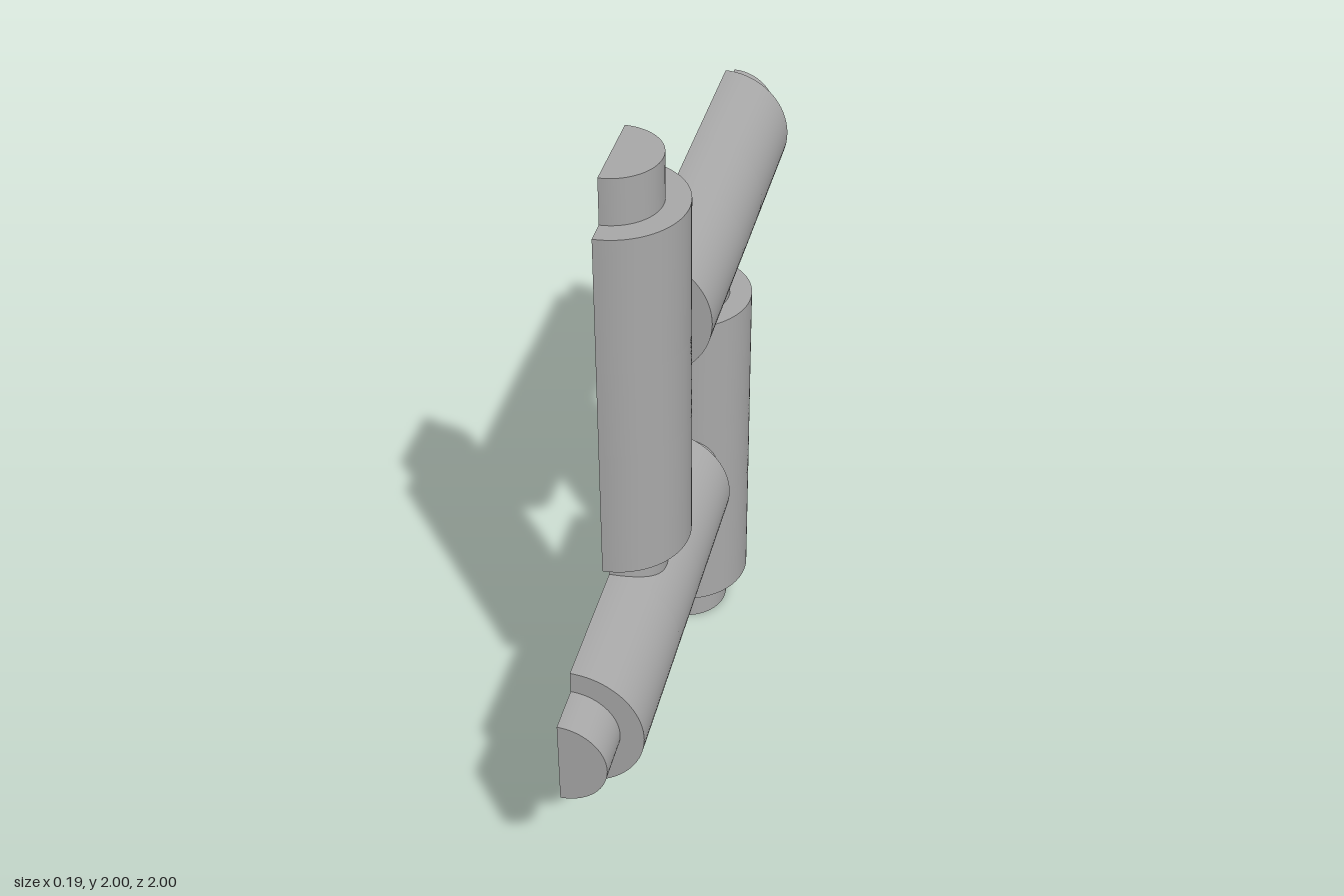
import * as THREE from 'three';

const R = 0.186;      // tube radius
const r = 0.124;      // neck radius
const LENGTH = 1;     // tube length
const PITCH = 0.375;  // tube axis distance from the centre of the ring
const SEG = 40;

// Half of an open cylinder (x >= 0), its vertices moved by rule(u, v, position)
function halfCylinder(radius, length, rows, rule) {
  const geo = new THREE.CylinderGeometry(radius, radius, length, SEG, rows, true, 0, Math.PI);
  if (rule) {
    const pos = geo.attributes.position, uv = geo.attributes.uv, p = new THREE.Vector3();
    for (let i = 0; i < pos.count; i++) {
      p.fromBufferAttribute(pos, i);
      rule(uv.getX(i), uv.getY(i), p);
      pos.setXYZ(i, p.x, p.y, p.z);
    }
    geo.computeVertexNormals();
  }
  return geo;
}

// Tube wall with a half-round opening in its inner edge for the next tube's neck
function wallGeometry() {
  const rows = 26;
  return halfCylinder(R, LENGTH, rows, (u, v, p) => {
    const row = Math.round(v * rows);
    if (row > 0 && row < rows) p.y = -r * Math.cos(Math.PI * (row - 1) / (rows - 2));
    const halfWidth = Math.sqrt(Math.max(0, r * r - p.y * p.y));
    const angle = u * (Math.PI - Math.asin(halfWidth / R));
    p.x = R * Math.sin(angle);
    p.z = R * Math.cos(angle);
  });
}

// Neck whose lower rim follows the round wall of the tube it enters
function joiningNeckGeometry() {
  return halfCylinder(r, 1, 1, (u, v, p) => {
    p.y = v > 0.5 ? -LENGTH / 2 : -2 * PITCH + Math.sqrt(R * R - p.x * p.x);
  });
}

// Half disc or half ring lying level, facing up or down
function level(geo, y, up) {
  return geo.rotateX(up ? -Math.PI / 2 : Math.PI / 2).translate(0, y, 0);
}

export function createModel() {
  const grey = new THREE.MeshStandardMaterial({ color: 0xaaaaaa, side: THREE.DoubleSide });
  grey.name = 'plain grey';

  const neckLength = 1 - PITCH - LENGTH / 2;
  const top = LENGTH / 2;
  const halfRing = () => new THREE.RingGeometry(r, R, SEG, 1, -Math.PI / 2, Math.PI);
  const parts = {
    tubeWall: wallGeometry(),
    outerShoulder: level(halfRing(), top, true),
    innerShoulder: level(halfRing(), -top, false),
    outerNeck: halfCylinder(r, neckLength, 1).translate(0, top + neckLength / 2, 0),
    endCap: level(new THREE.CircleGeometry(r, SEG, -Math.PI / 2, Math.PI), top + neckLength, true),
    joiningNeck: joiningNeckGeometry(),
  };

  const model = new THREE.Group();
  model.name = 'halfTubeRing';

  // Four equal tubes, each a quarter turn on from the last
  for (let i = 0; i < 4; i++) {
    const tube = new THREE.Group();
    tube.name = 'tube' + (i + 1);
    for (const [name, geo] of Object.entries(parts)) {
      const mesh = new THREE.Mesh(geo, grey);
      mesh.name = name;
      mesh.position.set(-R / 2, PITCH, PITCH);
      tube.add(mesh);
    }
    tube.position.y = 1;
    tube.rotation.x = -i * Math.PI / 2;
    model.add(tube);
  }
  return model;
}
